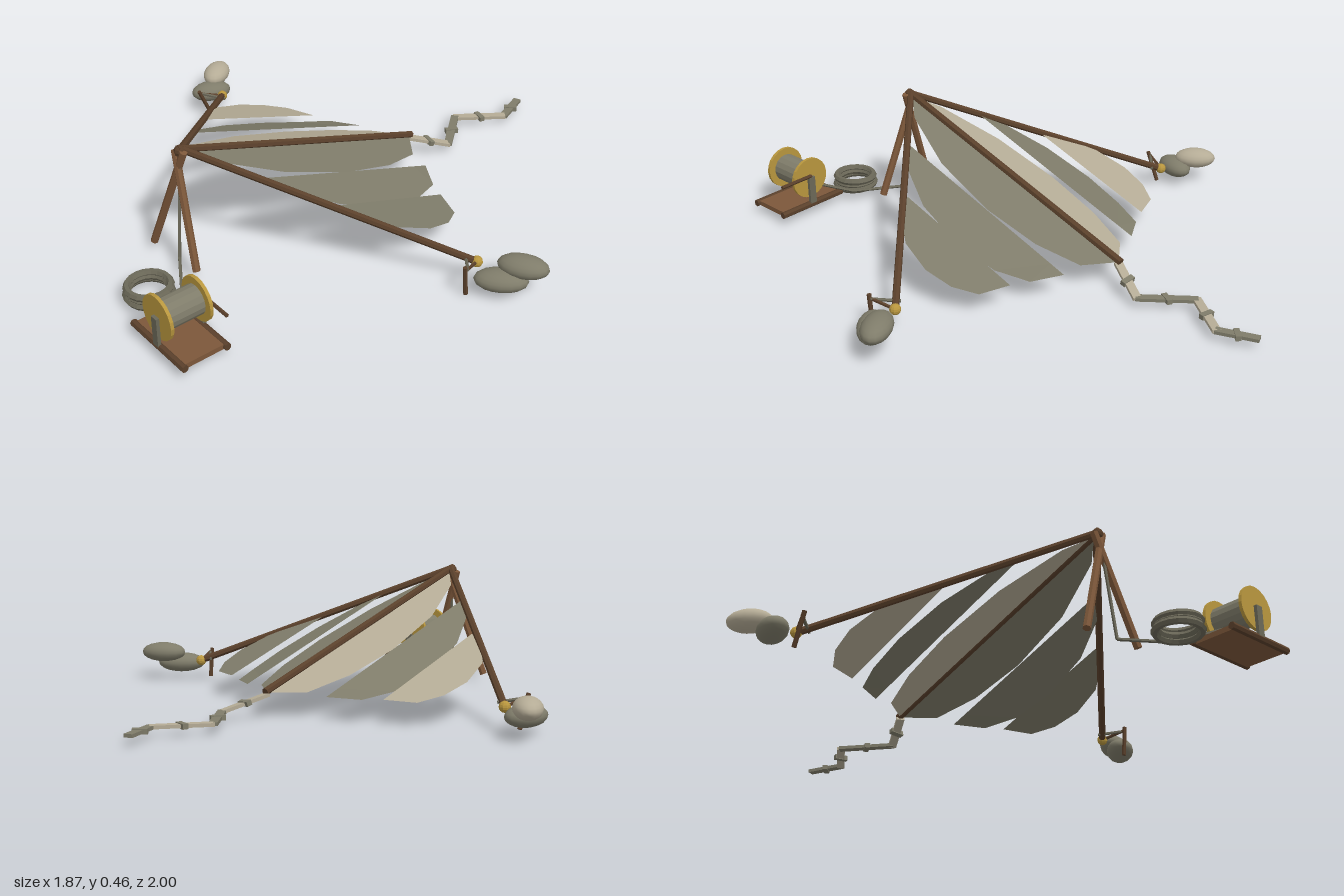
import * as THREE from 'three';

const mat = (name, color, extra = {}) => {
  const m = new THREE.MeshStandardMaterial({ color, flatShading: true, ...extra });
  m.name = name;
  return m;
};
const V = (x, y, z) => new THREE.Vector3(x, y, z);

export function createModel() {
  const model = new THREE.Group();
  model.name = 'groundedKite';
  const darkWood = mat('darkWood', 0x5a402b);
  const wood = mat('wood', 0x7c573a);
  const brass = mat('brass', 0xb8963e);
  const grey = mat('greyCloth', 0x7f7c6a, { side: THREE.DoubleSide });
  const pale = mat('paleCloth', 0xb5ac96, { side: THREE.DoubleSide });
  const cord = mat('cord', 0x6b6858);
  const stone = mat('greyStone', 0x7f7c6a, { flatShading: false });
  const paleStone = mat('paleStone', 0xb5ac96, { flatShading: false });

  const add = (name, geometry, material, pos, parent = model) => {
    const m = new THREE.Mesh(geometry, material);
    m.name = name;
    if (pos) m.position.copy(pos);
    parent.add(m);
    return m;
  };
  // round bar between two points
  const rod = (name, a, b, r, material, parent = model, sides = 7) => {
    const m = add(name, new THREE.CylinderGeometry(r, r, a.distanceTo(b), sides), material, a.clone().lerp(b, 0.5), parent);
    m.quaternion.setFromUnitVectors(V(0, 1, 0), b.clone().sub(a).normalize());
    return m;
  };

  // ---- Frame ----
  const kite = new THREE.Group();
  kite.name = 'kite';
  kite.position.x = -0.01;
  model.add(kite);
  const apex = V(0, 0.44, 0.63);
  const tailEnd = V(0, 0.088, -0.41);
  rod('spine', V(0, 0.444, 0.645), tailEnd, 0.014, darkWood, kite);
  add('apexLashing', new THREE.SphereGeometry(0.021, 8, 6), darkWood, V(0, 0.434, 0.635), kite);

  // ---- Sail panels: straight inner edge, bowed outer edge ----
  const bow = [[0, 0], [0.08, 0.62], [0.24, 0.9], [0.45, 1], [0.7, 0.85], [0.92, 0.4], [1, 0]];
  const sailPanel = (side, tail, front, width, droop, material) => {
    const pos = [];
    const inner = bow.map(([u]) => tail.clone().lerp(front, u));
    const outer = bow.map(([, w], i) => V(inner[i].x + width * w,
      Math.max(Math.min(0.075, inner[i].y), inner[i].y - droop * w), inner[i].z));
    const tri = (...p) => p.forEach(q => pos.push(q.x * side, q.y, q.z));
    for (let i = 0; i < bow.length - 1; i++) {
      const corners = [[inner[i], outer[i + 1], outer[i]], [inner[i], inner[i + 1], outer[i + 1]]];
      for (const [a, b, c] of corners) side > 0 ? tri(a, b, c) : tri(a, c, b);
    }
    const g = new THREE.BufferGeometry();
    g.setAttribute('position', new THREE.Float32BufferAttribute(pos, 3));
    g.computeVertexNormals();
    add('sailPanel', g, material, null, kite);
  };
  for (const s of [-1, 1]) {
    const tip = V(s * 0.725, 0.077, -0.04);
    rod('wingSpar', apex, tip, 0.013, darkWood, kite);
    add('sparTipKnob', new THREE.SphereGeometry(0.02, 10, 8), brass, tip, kite);
    const light = s < 0 ? pale : grey;
    sailPanel(s, V(0, 0.085, -0.4), V(0, 0.43, 0.62), 0.178, 0.04, light);
    sailPanel(s, V(0.188, 0.08, -0.31), V(0.188, 0.345, 0.455), 0.172, 0.055, grey);
    sailPanel(s, V(0.363, 0.08, -0.22), V(0.363, 0.25, 0.275), 0.18, 0.025, light);

    // ground stake with its tie
    rod('stake', V(s * 0.757, 0, 0.02 + 0.02 * s), V(s * 0.757, 0.113, 0.05), 0.008, darkWood, kite, 6);
    rod('stakeTie', V(s * 0.685, 0.085, -0.025), V(s * 0.76, 0.1, 0.04), 0.006, cord, kite, 5);
    rod('stakePeg', tip, V(s * 0.757, 0.1, 0.04), 0.006, darkWood, kite, 5);
  }

  // ---- Weight stones: centre, half length, half width, heading ----
  const stones = [
    [V(-0.87, 0.1, -0.11), 0.08, 0.05, -0.93, paleStone],
    [V(-0.822, 0.06, -0.046), 0.08, 0.052, 1.25, stone],
    [V(0.857, 0.105, -0.11), 0.088, 0.052, 0.55, stone],
    [V(0.822, 0.06, -0.046), 0.092, 0.052, 0.75, stone],
  ];
  for (const [p, a, b, turn, m] of stones) {
    const k = add('weightStone', new THREE.SphereGeometry(1, 16, 10), m, p);
    k.scale.set(a, 0.038, b);
    k.rotation.y = turn;
  }

  // ---- Zigzag tail with knots ----
  const path = [V(-0.01, 0.078, -0.4), V(0.065, 0.03, -0.54), V(-0.062, 0.03, -0.7), V(0.055, 0.03, -0.86), V(0.005, 0.03, -0.99)];
  for (let i = 0; i < 4; i++) {
    const a = path[i], b = path[i + 1];
    const seg = new THREE.Group();
    seg.name = 'tailSegment';
    seg.position.copy(a).lerp(b, 0.5);
    model.add(seg);
    seg.lookAt(b);
    add('tailRibbon', new THREE.BoxGeometry(0.03, 0.012, a.distanceTo(b) + 0.01), i % 2 ? grey : pale, null, seg);
    const bowTie = add('tailBow', new THREE.BoxGeometry(0.05, 0.018, 0.02), i % 2 ? pale : grey, null, seg);
    bowTie.material = grey;
    bowTie.rotation.y = 0.4;
  }

  // ---- Crossed legs ----
  rod('propLeg', V(-0.135, 0.025, 0.685), V(0.012, 0.44, 0.635), 0.014, wood);
  rod('propLeg', V(0.113, 0.035, 0.68), V(-0.032, 0.43, 0.64), 0.014, wood);

  // ---- Line from apex to reel ----
  const line = [V(-0.005, 0.43, 0.64), V(0.012, 0.035, 0.68), V(0.18, 0.04, 0.785), V(0.315, 0.1, 0.87)];
  for (let i = 0; i < 3; i++) rod('kiteLine', line[i], line[i + 1], 0.006, cord, model, 5);

  // ---- Spare line coil ----
  [[0.076, 0.028], [0.07, 0.043], [0.073, 0.058]].forEach(([r, y], i) => {
    const t = add('lineCoil', new THREE.TorusGeometry(r, 0.013, 6, 18), cord, V(0.1, y, 0.86));
    t.rotation.set(Math.PI / 2, 0.03 * (i - 1), 0);
  });

  // ---- Reel ----
  const reel = new THREE.Group();
  reel.name = 'reel';
  reel.position.set(0.35, 0, 0.907);
  model.add(reel);
  add('reelBase', new THREE.BoxGeometry(0.27, 0.018, 0.16), wood, V(0, 0.036, 0), reel);
  const drum = add('reelDrum', new THREE.CylinderGeometry(0.053, 0.053, 0.15, 16), grey, V(0, 0.145, 0), reel);
  drum.rotation.x = Math.PI / 2;
  for (const s of [-1, 1]) {
    rod('baseRail', V(-0.145, 0.036, s * 0.08), V(0.145, 0.036, s * 0.08), 0.013, darkWood, reel);
    const disc = add('reelDisc', new THREE.CylinderGeometry(0.079, 0.079, 0.012, 20), brass, V(0, 0.145, s * 0.073), reel);
    disc.rotation.x = Math.PI / 2;
    add('reelPost', new THREE.BoxGeometry(0.028, 0.11, 0.012), cord, V(0, 0.095, s * 0.085), reel);
  }
  rod('crankHandle', V(0, 0.155, -0.086), V(0.14, 0.155, -0.086), 0.007, darkWood, reel, 6);

  return model;
}
